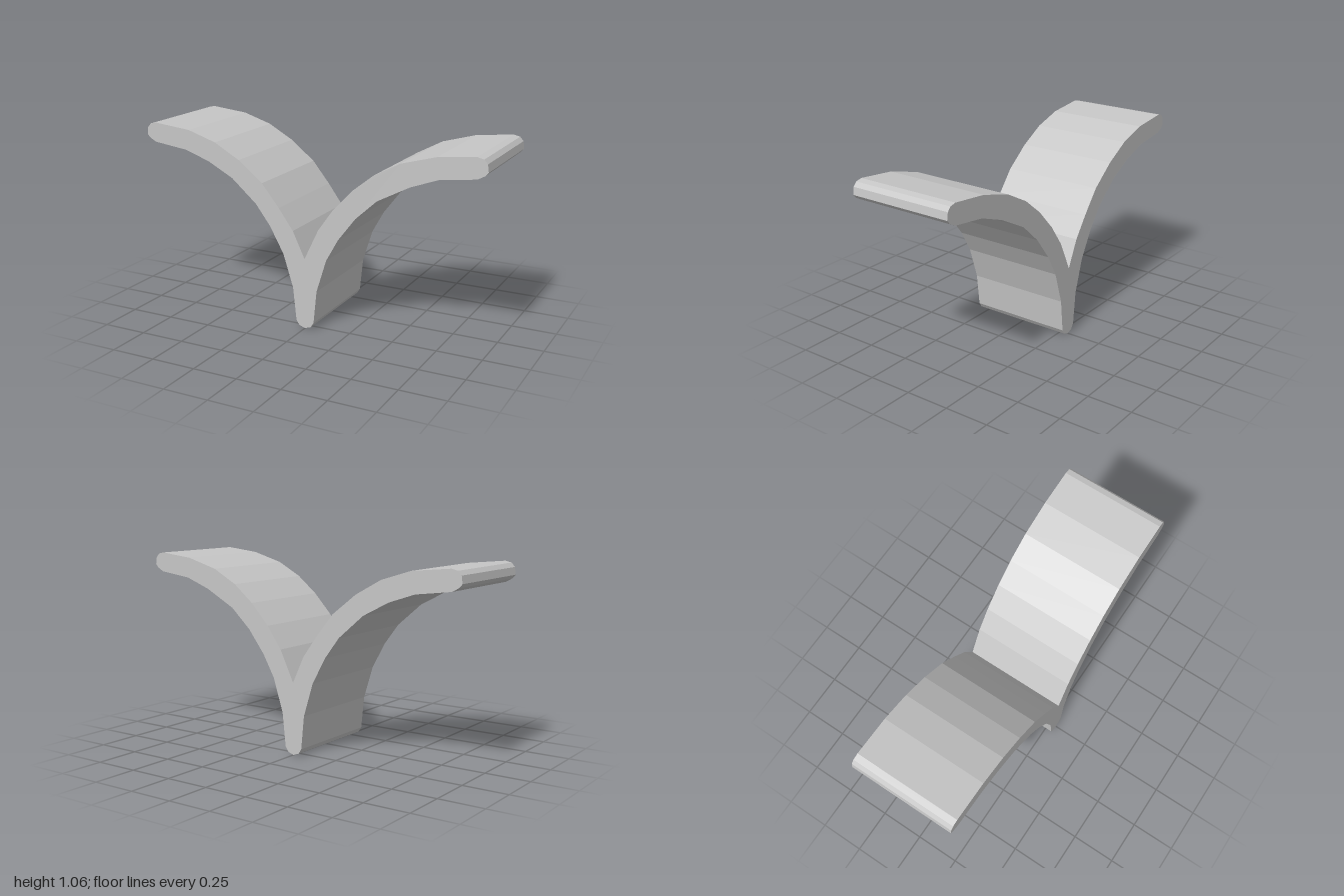
import * as THREE from 'three';

const DEPTH = 0.59;

// Underside of each wing, from the foot out to the tip
const rightUnder = [[0.035, 0.012], [0.053, 0.04], [0.072, 0.225], [0.13, 0.41], [0.2, 0.535],
  [0.3, 0.665], [0.42, 0.775], [0.6, 0.87], [0.75, 0.925], [0.945, 0.95]];
const leftUnder = [[0.035, 0.012], [0.053, 0.04], [0.072, 0.225], [0.13, 0.41], [0.21, 0.555],
  [0.297, 0.67], [0.445, 0.797], [0.595, 0.875], [0.745, 0.925], [0.945, 0.95]];

// Rounded tip, from underside to top
const tip = [[0.982, 0.97], [1, 0.99], [0.994, 1.03], [0.975, 1.052], [0.94, 1.06]];

// Top of each wing, from the tip in to the valley
const rightTop = [[0.735, 1.038], [0.545, 0.985], [0.4, 0.908], [0.28, 0.812], [0.17, 0.695], [0.083, 0.573]];
const leftTop = [[0.72, 1.038], [0.55, 0.985], [0.4, 0.902], [0.257, 0.79], [0.155, 0.665], [0.07, 0.548]];

export function createModel() {
  const group = new THREE.Group();
  group.name = 'splitArch';
  const grey = new THREE.MeshStandardMaterial({ color: 0xc6c6c6, flatShading: true });
  grey.name = 'light grey';

  // Closed outline: foot, one wing, valley, the other wing back to the foot
  const rightSide = [...rightUnder, ...tip, ...rightTop];
  const leftSide = [...leftUnder, ...tip, ...leftTop].map(([x, y]) => [-x, y]).reverse();
  const outline = [[0, 0], ...rightSide, [0, 0.4], ...leftSide];
  const shape = new THREE.Shape(outline.map(([x, y]) => new THREE.Vector2(x, y)));

  const geometry = new THREE.ExtrudeGeometry(shape, { depth: DEPTH, bevelEnabled: false });
  geometry.translate(0, 0, -DEPTH / 2);
  const body = new THREE.Mesh(geometry, grey);
  body.name = 'curvedWings';
  group.add(body);
  return group;
}
